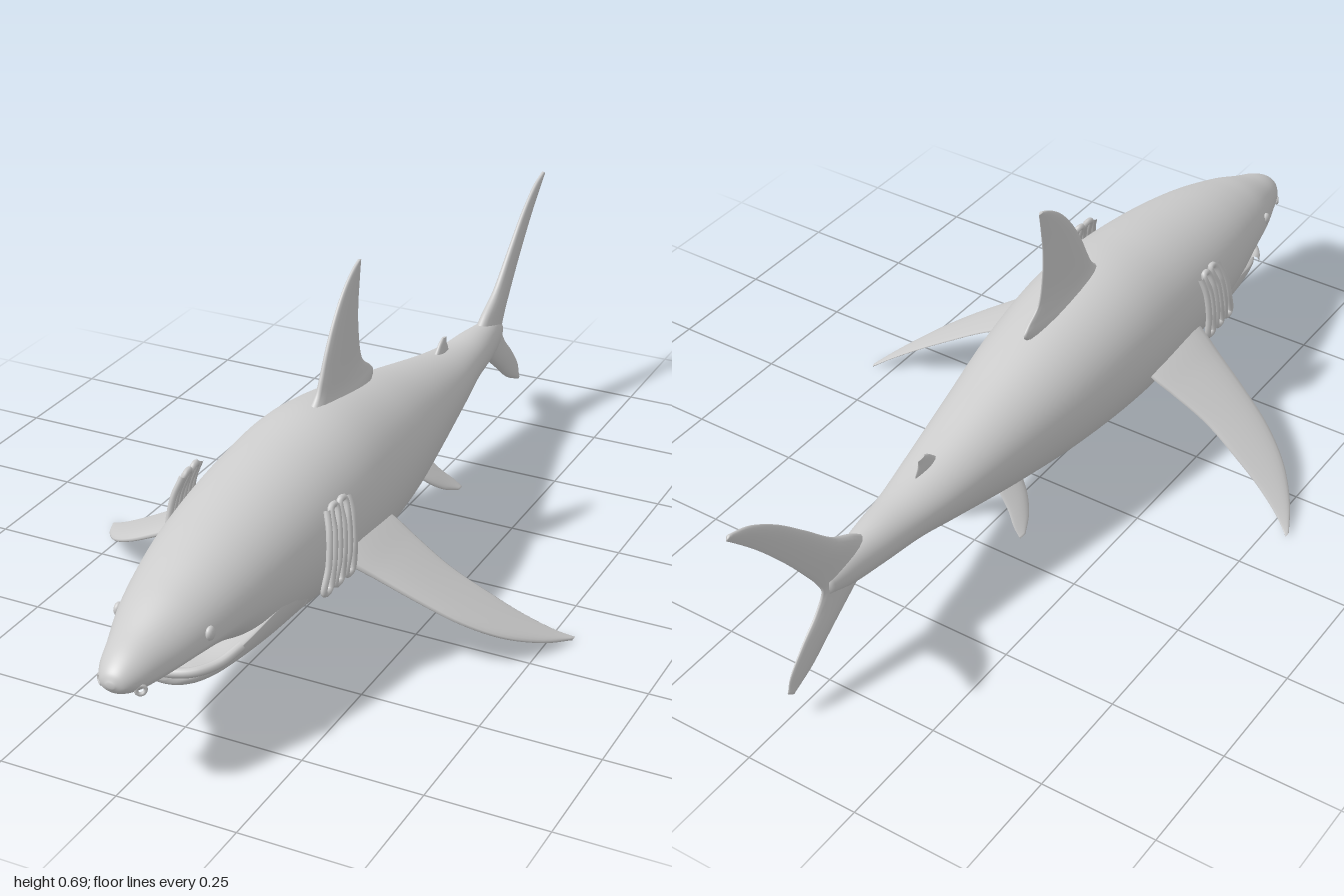
import * as THREE from 'three';

const V = (x, y, z) => new THREE.Vector3(x, y, z);
const material = new THREE.MeshStandardMaterial({ color: 0xcccccc, roughness: 0.8 });

// Skin a closed surface over a list of rings (each an array of Vector3)
function loft(rings) {
  const n = rings[0].length, pos = [], idx = [];
  rings.forEach(r => r.forEach(p => pos.push(p.x, p.y, p.z)));
  for (let j = 0; j < rings.length - 1; j++) {
    for (let i = 0; i < n; i++) {
      const a = j * n + i, b = j * n + (i + 1) % n, c = a + n, d = b + n;
      idx.push(a, c, b, b, c, d);
    }
  }
  const cap = (ring, base, flip) => {
    const mid = V(0, 0, 0);
    ring.forEach(p => mid.addScaledVector(p, 1 / n));
    const m = pos.length / 3;
    pos.push(mid.x, mid.y, mid.z);
    for (let i = 0; i < n; i++) {
      const a = base + i, b = base + (i + 1) % n;
      flip ? idx.push(m, b, a) : idx.push(m, a, b);
    }
  };
  cap(rings[0], 0, false);
  cap(rings[rings.length - 1], (rings.length - 1) * n, true);
  const g = new THREE.BufferGeometry();
  g.setAttribute('position', new THREE.Float32BufferAttribute(pos, 3));
  g.setIndex(idx);
  g.computeVertexNormals();
  return g;
}

// Trunk from stations [z, top, bottom, half width, height of widest point], nose to tail
function trunk(stations, steps, sides = 48) {
  const outline = new THREE.CatmullRomCurve3(stations.map(s => V(s[1], s[2], s[0])));
  const girth = new THREE.CatmullRomCurve3(stations.map(s => V(s[3], s[4], s[0])));
  const rings = [];
  for (let j = 0; j <= steps; j++) {
    const o = outline.getPoint(j / steps), g = girth.getPoint(j / steps);
    const ring = [];
    for (let i = 0; i < sides; i++) {
      const a = i / sides * Math.PI * 2, s = Math.sin(a);
      ring.push(V(Math.cos(a) * g.x, g.y + s * (s > 0 ? o.x - g.y : g.y - o.y), o.z));
    }
    rings.push(ring);
  }
  return loft(rings);
}

// Fin from stations [leading point, trailing point, half thickness]; up is the thickness direction
function fin(stations, up, steps = 40, sides = 20) {
  const lead = new THREE.CatmullRomCurve3(stations.map(s => s[0]));
  const trail = new THREE.CatmullRomCurve3(stations.map(s => s[1]));
  const thick = new THREE.CatmullRomCurve3(stations.map((s, i) => V(s[2], i, 0)));
  const rings = [];
  for (let j = 0; j <= steps; j++) {
    const t = j / steps, l = lead.getPoint(t), r = trail.getPoint(t), h = thick.getPoint(t).x;
    const mid = l.clone().add(r).multiplyScalar(0.5), half = l.clone().sub(r).multiplyScalar(0.5);
    const ring = [];
    for (let i = 0; i < sides; i++) {
      const a = i / sides * Math.PI * 2, c = Math.cos(a);
      ring.push(mid.clone().addScaledVector(half, c)
        .addScaledVector(up, Math.sin(a) * h * (0.7 + 0.3 * c)));
    }
    rings.push(ring);
  }
  return loft(rings);
}

// Upright fin on the centre plane: rows of [lead z, lead y, trail z, trail y, half thickness], bottom to top
const uprightFin = rows =>
  fin(rows.map(r => [V(0, r[1], r[0]), V(0, r[3], r[2]), r[4]]), V(-1, 0, 0), 60);

export function createModel() {
  const group = new THREE.Group();
  const add = (name, geometry) => {
    const m = new THREE.Mesh(geometry, material);
    m.name = name;
    group.add(m);
    return m;
  };
  const addPair = (name, geometry) => {
    add(name + 'Left', geometry);
    add(name + 'Right', geometry).scale.x = -1;
  };

  // Body with overhanging snout
  add('body', trunk([
    [1.0, 0.243, 0.232, 0.008, 0.238], [0.99, 0.26, 0.218, 0.028, 0.236],
    [0.96, 0.28, 0.207, 0.048, 0.237], [0.9, 0.304, 0.207, 0.07, 0.24],
    [0.83, 0.333, 0.212, 0.095, 0.25], [0.78, 0.35, 0.208, 0.109, 0.255],
    [0.72, 0.369, 0.185, 0.123, 0.26], [0.64, 0.39, 0.14, 0.139, 0.263],
    [0.52, 0.414, 0.112, 0.156, 0.265], [0.36, 0.437, 0.1, 0.168, 0.267],
    [0.2, 0.446, 0.096, 0.17, 0.268], [0, 0.413, 0.102, 0.15, 0.265],
    [-0.2, 0.364, 0.128, 0.115, 0.258], [-0.4, 0.316, 0.172, 0.079, 0.25],
    [-0.5, 0.3, 0.193, 0.06, 0.248], [-0.6, 0.295, 0.202, 0.046, 0.247],
    [-0.68, 0.285, 0.207, 0.03, 0.245], [-0.74, 0.26, 0.222, 0.012, 0.242],
  ], 110));

  // Lower jaw and its lip
  add('lowerJaw', trunk([
    [0.836, 0.172, 0.158, 0.015, 0.165], [0.83, 0.18, 0.148, 0.045, 0.165],
    [0.81, 0.186, 0.14, 0.07, 0.168], [0.77, 0.192, 0.132, 0.094, 0.178],
    [0.71, 0.21, 0.123, 0.116, 0.2], [0.62, 0.24, 0.114, 0.138, 0.23],
    [0.5, 0.25, 0.112, 0.15, 0.24],
  ], 40));
  const lipPath = [[-0.116, 0.204, 0.73], [-0.095, 0.187, 0.775], [-0.067, 0.181, 0.812], [-0.035, 0.178, 0.829],
    [0, 0.177, 0.834], [0.035, 0.178, 0.829], [0.067, 0.181, 0.812], [0.095, 0.187, 0.775], [0.116, 0.204, 0.73]];
  add('lowerLip', new THREE.TubeGeometry(
    new THREE.CatmullRomCurve3(lipPath.map(p => V(...p))), 48, 0.01, 10));

  // Eyes and nostrils
  const eye = new THREE.SphereGeometry(0.013, 16, 12);
  eye.scale(0.7, 1.1, 1).translate(0.097, 0.27, 0.81);
  addPair('eye', eye);
  const nostril = new THREE.TorusGeometry(0.009, 0.004, 8, 16);
  nostril.rotateY(0.7).translate(0.042, 0.222, 0.965);
  addPair('nostril', nostril);

  // Gill slits: one raised ridge that folds back and forth over the flank
  const ridge = [];
  const slits = 6;
  for (let i = 0; i < slits; i++) {
    const k = i / (slits - 1);
    const column = [[0.165, 0.37], [0.178, 0.33], [0.184, 0.27], [0.181, 0.215]].map(([x, y], j) =>
      V(x - 0.006 * (1 - k), y, THREE.MathUtils.lerp(0.465 + j * 0.015, 0.385 + j * 0.006, k)));
    ridge.push(...(i % 2 ? column.reverse() : column));
  }
  addPair('gillSlits', new THREE.TubeGeometry(new THREE.CatmullRomCurve3(ridge), 200, 0.007, 8));

  // Main dorsal fin with its free rear tip
  add('dorsalFin', uprightFin([
    [0.27, 0.4, -0.04, 0.395, 0.045], [0.235, 0.43, -0.06, 0.418, 0.032],
    [0.2, 0.46, -0.045, 0.435, 0.022], [0.18, 0.495, -0.008, 0.465, 0.018],
    [0.155, 0.545, 0.008, 0.53, 0.015], [0.12, 0.6, 0.01, 0.59, 0.012],
    [0.075, 0.65, 0.004, 0.64, 0.009], [0.03, 0.681, -0.001, 0.675, 0.006],
    [0.008, 0.69, -0.003, 0.688, 0.004],
  ]));

  // Tail fin, lower lobe up to the upper lobe
  add('tailFin', uprightFin([
    [-0.86, 0.06, -0.875, 0.066, 0.008], [-0.8, 0.09, -0.865, 0.1, 0.013],
    [-0.73, 0.145, -0.82, 0.155, 0.018], [-0.66, 0.198, -0.775, 0.2, 0.022],
    [-0.59, 0.25, -0.755, 0.237, 0.026], [-0.64, 0.303, -0.768, 0.268, 0.022],
    [-0.71, 0.345, -0.805, 0.322, 0.017], [-0.79, 0.42, -0.855, 0.388, 0.013],
    [-0.87, 0.492, -0.92, 0.465, 0.01], [-0.94, 0.538, -0.968, 0.515, 0.008],
    [-0.99, 0.555, -1.0, 0.546, 0.005],
  ]));

  // Small second dorsal fin and anal fin
  add('secondDorsalFin', uprightFin([
    [-0.36, 0.305, -0.44, 0.293, 0.012], [-0.385, 0.325, -0.447, 0.308, 0.01],
    [-0.402, 0.34, -0.437, 0.33, 0.007], [-0.415, 0.347, -0.436, 0.343, 0.004],
  ]));
  add('analFin', uprightFin([
    [-0.5, 0.172, -0.52, 0.176, 0.004], [-0.475, 0.182, -0.515, 0.186, 0.007],
    [-0.44, 0.205, -0.505, 0.21, 0.01],
  ]));

  // Pectoral fins: rows of [x, lead z, trail z, half thickness] on a sloping plane
  const slope = 0.585;
  const pecY = x => 0.225 - (x - 0.17) * slope;
  addPair('pectoralFin', fin([
    [0.11, 0.41, 0.19, 0.024], [0.17, 0.4, 0.185, 0.021], [0.22, 0.383, 0.192, 0.017],
    [0.3, 0.357, 0.198, 0.014], [0.38, 0.325, 0.185, 0.012], [0.45, 0.275, 0.168, 0.01],
    [0.51, 0.2, 0.143, 0.007], [0.545, 0.133, 0.12, 0.004],
  ].map(([x, l, t, h]) => [V(x, pecY(x), l), V(x, pecY(x), t), h]), V(slope, 1, 0).normalize()));

  // Pelvic fins
  addPair('pelvicFin', fin([
    [0.05, 0.145, -0.15, -0.23, 0.012], [0.08, 0.115, -0.17, -0.24, 0.01],
    [0.105, 0.09, -0.2, -0.255, 0.007], [0.123, 0.073, -0.24, -0.26, 0.004],
  ].map(([x, y, l, t, h]) => [V(x, y, l), V(x, y, t), h]), V(1, 1, 0).normalize(), 20));

  return group;
}
